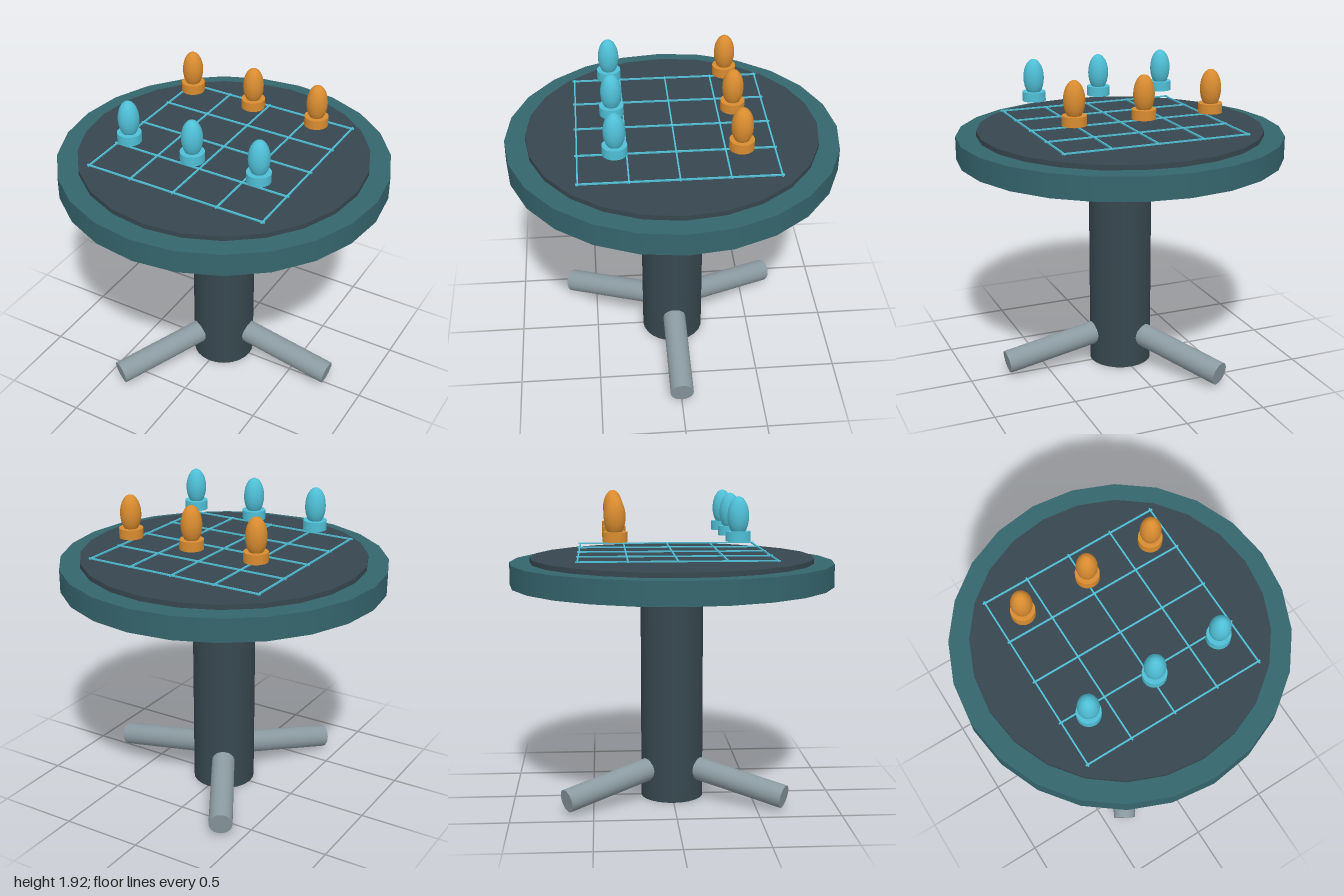
import * as THREE from 'three';

const mat = (name, color) => {
  const m = new THREE.MeshStandardMaterial({ color });
  m.name = name;
  return m;
};

export function createModel() {
  const teal = mat('teal', 0x35656d);
  const slate = mat('slate', 0x37474f);
  const steel = mat('steel', 0x8b9aa1);
  const cyan = mat('cyan', 0x4fbfd6);
  const orange = mat('orange', 0xd98c30);

  const root = new THREE.Group();
  root.name = 'gameTable';
  const add = (name, geometry, material, x, y, z, parent = root) => {
    const mesh = new THREE.Mesh(geometry, material);
    mesh.name = name;
    mesh.position.set(x, y, z);
    parent.add(mesh);
    return mesh;
  };
  const disc = (r, h, sides) => new THREE.CylinderGeometry(r, r, h, sides);

  // Column, table top and inset board
  add('column', disc(0.195, 1.36, 24), slate, 0, 0.68, 0);
  add('tableTop', disc(1, 0.14, 24), teal, 0, 1.43, 0);
  add('board', disc(0.875, 0.03, 24), slate, 0, 1.515, 0);

  // Three sloping feet, from inside the column outwards
  const inner = new THREE.Vector3(0.1, 0.207, 0);
  const outer = new THREE.Vector3(0.764, 0.088, 0);
  const dir = outer.clone().sub(inner);
  const footGeo = disc(0.072, dir.length(), 20);
  const mid = inner.clone().add(outer).multiplyScalar(0.5);
  for (let i = 0; i < 3; i++) {
    const arm = new THREE.Group();
    arm.name = 'foot' + (i + 1);
    arm.rotation.y = (i * Math.PI * 2) / 3;
    const foot = add('footBar', footGeo, steel, mid.x, mid.y, 0, arm);
    foot.quaternion.setFromUnitVectors(new THREE.Vector3(0, 1, 0), dir.clone().normalize());
    root.add(arm);
  }

  // Floating grid of five lines each way
  const rowGeo = new THREE.BoxGeometry(1.17, 0.009, 0.009);
  const columnGeo = new THREE.BoxGeometry(0.009, 0.009, 1.17);
  for (let i = -2; i <= 2; i++) {
    add('gridRow', rowGeo, cyan, 0, 1.558, i * 0.286);
    add('gridColumn', columnGeo, cyan, i * 0.286, 1.558, 0);
  }

  // Two rows of game pieces: a round base with an egg-shaped body
  const baseGeo = disc(0.072, 0.058, 20);
  const bodyGeo = new THREE.SphereGeometry(1, 20, 14).scale(0.063, 0.115, 0.063);
  for (const [side, material, z] of [['front', cyan, 0.357], ['back', orange, -0.357]]) {
    for (const x of [-0.429, 0, 0.429]) {
      const piece = new THREE.Group();
      piece.name = side + 'Piece';
      piece.position.set(x, 0, z);
      add('pieceBase', baseGeo, material, 0, 1.687, 0, piece);
      add('pieceBody', bodyGeo, material, 0, 1.802, 0, piece);
      root.add(piece);
    }
  }
  return root;
}
